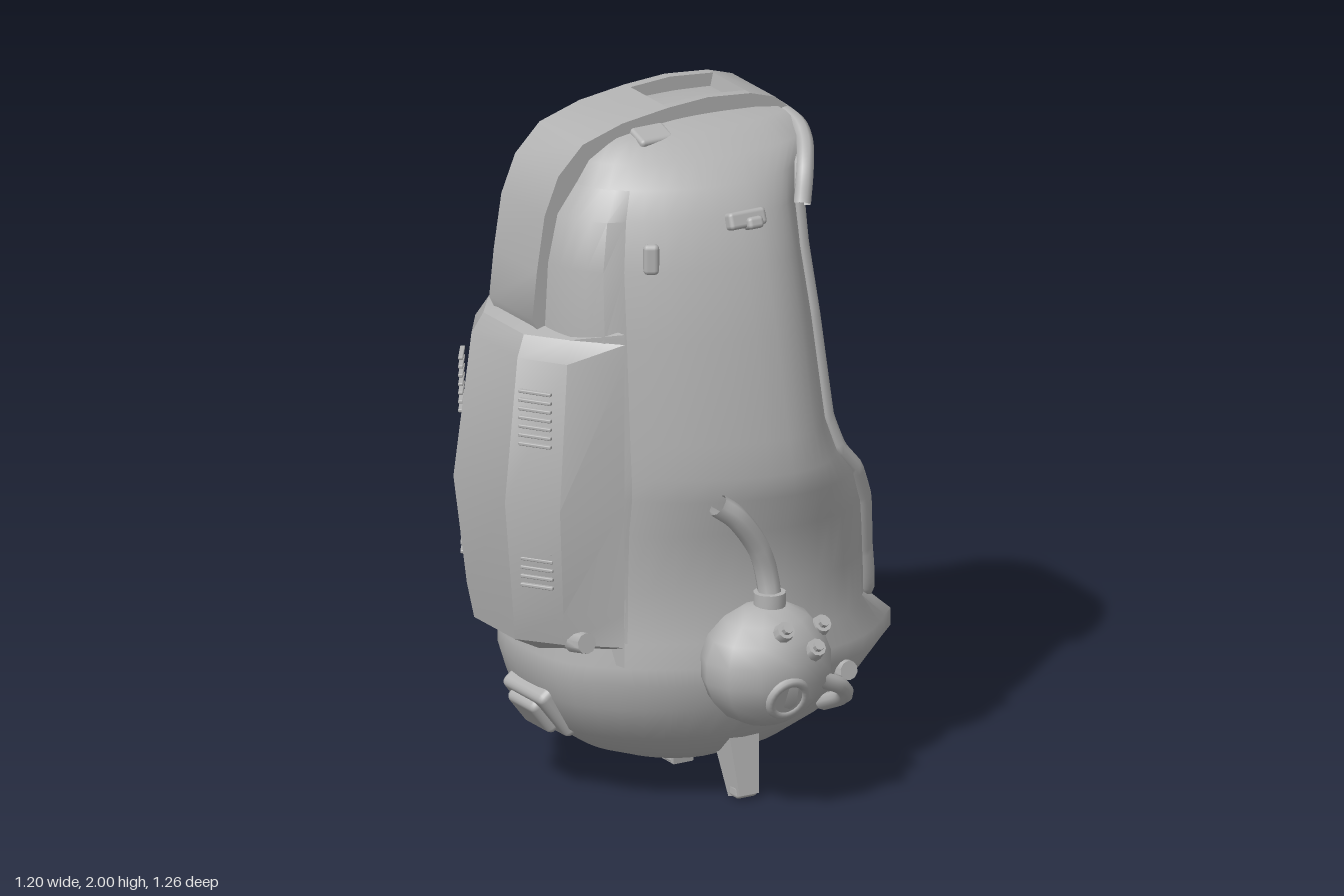
import * as THREE from 'three';
import { toCreasedNormals } from 'three/addons/utils/BufferGeometryUtils.js';
import { RoundedBoxGeometry } from 'three/addons/geometries/RoundedBoxGeometry.js';

const N = 40, CZ = -0.032;
const V = (x, y, z) => new THREE.Vector3(x, y, z);

// hull sections: y, front x, front half width, widest x, widest half width, back x, back half width
const BOWL = [
  [0.085, 0.0, 0.001, 0, 0.002, -0.001, 0.001],
  [0.088, 0.2, 0.1, 0, 0.22, -0.18, 0.1],
  [0.125, 0.32, 0.15, 0.03, 0.3, -0.28, 0.13],
  [0.2, 0.44, 0.2, 0.05, 0.385, -0.38, 0.17],
  [0.3, 0.53, 0.23, 0.08, 0.45, -0.435, 0.19],
  [0.38, 0.595, 0.25, 0.1, 0.475, -0.46, 0.2],
  [0.43, 0.595, 0.25, 0.1, 0.48, -0.46, 0.2],
  [0.5, 0.515, 0.245, 0.11, 0.465, -0.44, 0.2],
];
const SIDES = [
  [0.65, 0.48, 0.3, 0.12, 0.455, -0.44, 0.2],
  [0.82, 0.44, 0.36, 0.12, 0.475, -0.44, 0.2],
  [0.93, 0.39, 0.395, 0.12, 0.52, -0.44, 0.2],
  [1.0, 0.33, 0.405, 0.11, 0.53, -0.44, 0.2],
  [1.1, 0.295, 0.395, 0.1, 0.52, -0.44, 0.2],
  [1.4, 0.27, 0.36, 0.08, 0.49, -0.44, 0.2],
  [1.6, 0.255, 0.325, 0.07, 0.445, -0.43, 0.19],
  [1.74, 0.255, 0.3, 0.06, 0.4, -0.4, 0.18],
];
const ROOF = [
  [1.82, 0.28, 0.275, 0.05, 0.35, -0.36, 0.17],
  [1.88, 0.345, 0.21, 0.05, 0.28, -0.32, 0.15],
  [1.93, 0.31, 0.15, 0.03, 0.19, -0.25, 0.1],
  [1.955, 0.16, 0.07, 0, 0.1, -0.13, 0.05],
  [1.96, 0.001, 0.001, 0, 0.002, -0.001, 0.001],
];
const ROWS = [...BOWL, ...SIDES, ...ROOF];

// one C-shaped section, running from the front edge round the back
function section([y, xf, zf, xw, zw, xb, zb]) {
  const h = [[xf, zf], [xw + (xf - xw) * 0.62, zf + (zw - zf) * 0.72], [xw, zw],
    [xw + (xb - xw) * 0.55, zw + (zb - zw) * 0.32], [xb + (xw - xb) * 0.07, zb]];
  const pts = [...h, [xb, 0], ...h.slice().reverse().map(([x, z]) => [x, -z])];
  return new THREE.CatmullRomCurve3(pts.map(([x, z]) => V(x, y, z + CZ)), false, 'centripetal');
}

// skin between rings of points; closed(i) tells whether ring i joins its own ends
function skin(rings, closed, crease) {
  const m = rings[0].length, idx = [];
  for (let i = 0; i < rings.length - 1; i++) {
    const end = closed(i) && closed(i + 1) ? m : m - 1;
    for (let j = 0; j < end; j++) {
      const k = (j + 1) % m, a = i * m + j, b = i * m + k;
      idx.push(a, a + m, b, b, a + m, b + m);
    }
  }
  const g = new THREE.BufferGeometry().setFromPoints(rings.flat());
  g.setIndex(idx);
  return toCreasedNormals(g, crease);
}

export function createModel() {
  const root = new THREE.Group();
  root.name = 'escapePod';
  const grey = new THREE.MeshStandardMaterial({ color: 0xb2b2b2, side: THREE.DoubleSide });
  grey.name = 'hull grey';

  const add = (name, geo, pos = [0, 0, 0], rot = [0, 0, 0]) => {
    const m = new THREE.Mesh(geo, grey);
    m.name = name;
    m.position.set(...pos);
    m.rotation.set(...rot);
    root.add(m);
    return m;
  };
  const box = (name, s, pos, rot, r = 0.012) => add(name, new RoundedBoxGeometry(...s, 2, r), pos, rot);
  const cyl = (name, r1, r2, h, pos, rot, n = 16) =>
    add(name, toCreasedNormals(new THREE.CylinderGeometry(r1, r2, h, n), 0.7), pos, rot);
  const ring = (name, r, t, pos, rot) => add(name, new THREE.TorusGeometry(r, t, 8, 24), pos, rot);
  const tube = (name, pts, r, closed = false, tension = 0.5) =>
    add(name, new THREE.TubeGeometry(new THREE.CatmullRomCurve3(pts.map(p => p.isVector3 ? p : V(...p)),
      closed, 'catmullrom', tension), pts.length * 8, r, 8, closed));

  // hull with the cockpit opening facing +x
  const curves = ROWS.map(section);
  const rings = curves.map(c => c.getPoints(N));
  const isClosed = i => i < BOWL.length || i >= BOWL.length + SIDES.length;
  add('hull', skin(rings, isClosed, 0.75));

  // inner lining with a domed ceiling, meeting the hull at the edges of the opening
  const first = BOWL.length - 1, last = BOWL.length + SIDES.length;
  const open = rings.slice(first, last + 1);
  const inner = rings.slice(first).map((r, i) => r.map((p, j) => {
    const s = 1 - 0.07 * Math.min(1, 3 * Math.sin(Math.PI * j / N));
    return V(p.x * s, p.y - (i >= open.length ? 0.03 : 0), (p.z - CZ) * s + CZ);
  }));
  add('lining', skin(inner, i => i >= open.length - 1, 0.9));
  const plate = new THREE.ShapeGeometry(new THREE.Shape(inner[0].map(p => new THREE.Vector2(p.x, p.z))));
  add('floor', plate, [0, 0.5, 0], [Math.PI / 2, 0, 0]);

  // rim round the opening: outer bead and inner seal
  const edge = [...open.map(r => r[0]), ...open.slice().reverse().map(r => r[N])];
  tube('openingRim', edge, 0.024, true, 0.12);
  const seal = edge.map(p => V(p.x + 0.004, 1.15 + (p.y - 1.15) * 0.955, CZ + (p.z - CZ) * 0.89));
  tube('openingSeal', seal, 0.016, true, 0.12);

  // hood lip over the opening
  tube('hood', [[0.25, 1.72, 0.31], [0.28, 1.81, 0.275], [0.32, 1.87, 0.2], [0.335, 1.9, 0.1],
    [0.335, 1.9, -0.16], [0.32, 1.87, -0.26], [0.28, 1.81, -0.335], [0.25, 1.72, -0.37]], 0.026);

  // raised shell that wraps the back
  const wrapCurves = curves.slice(first, last + 1);
  const wrap = wrapCurves.map((c, i) => Array.from({ length: 17 }, (_, j) => {
    const p = c.getPoint(0.345 + 0.31 * j / 16);
    const s = j % 16 && i % (wrapCurves.length - 1) ? 1.05 : 1;
    return V(p.x * s, p.y, CZ + (p.z - CZ) * s);
  }));
  add('backShell', skin(wrap, () => false, 0.5));

  // spine band over the roof, with a recessed window
  const spine = (name, outer, thick, z0, z1) => {
    const pts = [...outer, ...outer.slice().reverse().map(([x, y]) => [x * (1 - thick), y - thick])];
    const g = new THREE.ExtrudeGeometry(new THREE.Shape(pts.map(p => new THREE.Vector2(...p))),
      { depth: z1 - z0, bevelEnabled: false });
    add(name, toCreasedNormals(g, 0.6), [0, 0, z0]);
  };
  spine('spineBack', [[-0.495, 1.44], [-0.48, 1.58], [-0.455, 1.74], [-0.41, 1.85], [-0.33, 1.93],
    [-0.2, 1.97], [-0.05, 1.99]], 0.08, -0.155, 0.08);
  spine('spineFront', [[0.22, 1.985], [0.3, 1.96], [0.36, 1.91]], 0.045, -0.155, 0.08);
  for (const z of [-0.155, 0.05])
    spine('spineRail', [[-0.05, 1.99], [0.08, 1.998], [0.22, 1.985]], 0.07, z, z + 0.03);

  // power pack on the back, with two vents on each flank
  const pack = [[0.44, -0.44, 0.15], [0.5, -0.55, 0.22], [0.6, -0.565, 0.25], [0.92, -0.6, 0.28],
    [1.34, -0.55, 0.25], [1.4, -0.52, 0.22], [1.43, -0.43, 0.15]].map(([y, x, w]) =>
    [[-0.325, 0.335], [x * 0.84, w], [x, w * 0.5], [x, -w * 0.5], [x * 0.84, -w], [-0.325, -0.335]]
      .map(([px, z]) => V(px, y, z - 0.035)));
  add('powerPack', skin(pack, () => false, 0.5));
  for (const s of [-1, 1]) for (const [y, x] of [[0.68, -0.53], [1.1, -0.537]]) for (let i = 0; i < 7; i++)
    box('ventSlat', [0.1, 0.01, 0.014], [x, y + i * 0.026, -0.035 + s * 0.2], [0, -s * 0.97, 0], 0.003);

  // instrument globe on the front
  const globe = add('frontGlobe', new THREE.SphereGeometry(0.2, 12, 9), [0.04, 0.44, 0.46]);
  globe.scale.set(0.98, 0.9, 0.8);
  ring('globeLens', 0.055, 0.014, [0.03, 0.375, 0.595], [0.35, 0, 0]);
  cyl('globeLensGlass', 0.05, 0.05, 0.02, [0.03, 0.375, 0.592], [1.9, 0, 0]);
  for (const [x, y, z] of [[0.03, 0.56, 0.57], [0.12, 0.5, 0.59], [0.18, 0.54, 0.52]]) {
    cyl('globeBolt', 0.026, 0.032, 0.05, [x, y, z], [0.9, 0, 0], 10);
    cyl('globeBoltHead', 0.015, 0.018, 0.08, [x, y, z], [0.9, 0, 0], 8);
  }
  tube('globePipe', [[0.05, 0.55, 0.48], [0.05, 0.68, 0.455], [0.02, 0.78, 0.455], [-0.05, 0.88, 0.46],
    [-0.11, 0.93, 0.45]], 0.034);
  cyl('globePipeCollar', 0.046, 0.046, 0.06, [0.05, 0.62, 0.465]);
  tube('globeHose', [[0.17, 0.39, 0.54], [0.25, 0.35, 0.52], [0.29, 0.3, 0.47], [0.3, 0.24, 0.34]], 0.024);

  // round housing on the rear
  const profile = [[0.17, -0.03], [0.22, 0.03], [0.235, 0.08], [0.21, 0.14], [0.1, 0.18], [0.001, 0.18]];
  add('rearHousing', toCreasedNormals(new THREE.LatheGeometry(profile.map(p => new THREE.Vector2(...p)), 10), 0.6),
    [0.075, 0.42, -0.435], [-Math.PI / 2, 0, 0]);
  ring('rearLens', 0.07, 0.02, [0.075, 0.42, -0.61]);
  tube('rearHose', [[-0.25, 0.36, -0.36], [-0.27, 0.52, -0.4], [-0.24, 0.72, -0.44],
    [-0.12, 0.76, -0.49], [0.02, 0.76, -0.51]], 0.022);
  tube('rearSideHose', [[0.22, 0.98, -0.51], [0.24, 0.84, -0.51], [0.22, 0.7, -0.53], [0.16, 0.58, -0.52]], 0.024);
  for (const y of [0.7, 0.8])
    tube('rearHandle', [[-0.08, y, -0.46], [-0.05, y, -0.5], [0.13, y, -0.53], [0.17, y, -0.48]], 0.016);
  for (const [x, y] of [[0.22, 1.0], [0.17, 0.95], [0.26, 0.93]])
    cyl('rearBolt', 0.028, 0.034, 0.06, [x, y, -0.53], [-Math.PI / 2, 0, 0], 10);
  box('rearSocket', [0.13, 0.13, 0.06], [0.29, 0.25, -0.38], [-0.25, -0.4, 0]);
  tube('rearLoop', [[0.27, 0.27, -0.39], [0.26, 0.22, -0.47], [0.24, 0.17, -0.46], [0.2, 0.2, -0.38]], 0.018);

  // hatches low on the nose and the back
  for (const [s, x] of [[1, 0.51], [-1, -0.395]]) {
    box('hatch', [0.06, 0.17, 0.22], [x, 0.25, -0.035], [0, 0, -s * 0.66], 0.02);
    box('hatchCover', [0.05, 0.12, 0.15], [x + s * 0.025, 0.235, -0.035], [0, 0, -s * 0.66], 0.02);
  }

  // latches and fittings, mirrored on both flanks
  for (const s of [-1, 1]) {
    box('latch', [0.12, 0.05, 0.05], [0.03, 1.73, CZ + s * 0.395], [-s * 0.35, 0, 0]);
    box('latchPin', [0.05, 0.035, 0.06], [0.045, 1.72, CZ + s * 0.41], [-s * 0.35, 0, 0]);
    box('oval', [0.045, 0.09, 0.03], [-0.24, 1.64, CZ + s * 0.335], [0, -s * 0.5, 0], 0.014);
    box('roofClasp', [0.11, 0.05, 0.1], [-0.12, 1.92, -0.037 + s * 0.13], [s * 0.3, 0, 0]);
    cyl('knob', 0.028, 0.034, 0.06, [0.33, 0.35, CZ + s * 0.435], [s * 1.4, 0, 0], 10);
    cyl('backKnob', 0.03, 0.034, 0.07, [-0.42, 0.51, CZ + s * 0.25], [s * 1.4, 0, 0], 10);
  }

  // splayed feet
  for (const [z, tilt] of [[0.3, -0.25], [-0.035, 0], [-0.36, 0.25]]) {
    const leg = cyl('foot', 0.07, 0.045, 0.19, [0.05, 0.097, z], [tilt, 0, 0], 4);
    leg.geometry.rotateY(Math.PI / 4);
    box('footPad', [0.07, 0.04, 0.05], [0.05, 0.02, z - tilt * 0.085]);
  }

  // cockpit: console by the opening and hoses
  box('console', [0.13, 0.13, 0.25], [0.4, 0.635, -0.035], [0, 0, -0.2], 0.025);
  box('consoleLid', [0.1, 0.05, 0.21], [0.38, 0.7, -0.035], [0, 0, -0.2], 0.02);
  box('consoleBase', [0.1, 0.1, 0.2], [0.38, 0.54, -0.035]);
  for (const s of [-1, 1]) {
    tube('cockpitHose', [[0.38, 0.52, s * 0.2 - 0.03], [0.33, 0.7, s * 0.21 - 0.03],
      [0.18, 0.78, s * 0.22 - 0.03], [0.02, 0.68, s * 0.2 - 0.03], [-0.02, 0.5, s * 0.18 - 0.03]], 0.028);
    tube('wallHose', [[-0.3, 0.5, s * 0.2 - 0.03], [-0.33, 0.75, s * 0.2 - 0.03], [-0.33, 0.98, s * 0.2 - 0.03]], 0.02);
  }

  // cockpit: instruments on the back wall
  ring('wallPort', 0.055, 0.018, [-0.38, 1.37, -0.03], [0, Math.PI / 2, 0]);
  cyl('wallRod', 0.026, 0.026, 0.5, [-0.35, 1.26, 0.15]);
  cyl('wallRodTip', 0.014, 0.014, 0.14, [-0.35, 1.56, 0.15]);
  for (const [y, z, h, w] of [[1.08, 0.155, 0.11, 0.09], [1.25, 0.03, 0.07, 0.07], [1.06, 0.05, 0.19, 0.08],
    [0.99, -0.04, 0.13, 0.09], [1.0, -0.26, 0.08, 0.1], [1.33, 0.22, 0.05, 0.05], [0.92, 0.04, 0.07, 0.08]])
    box('wallInstrument', [0.09, h, w], [-0.36, y, z]);

  return root;
}
